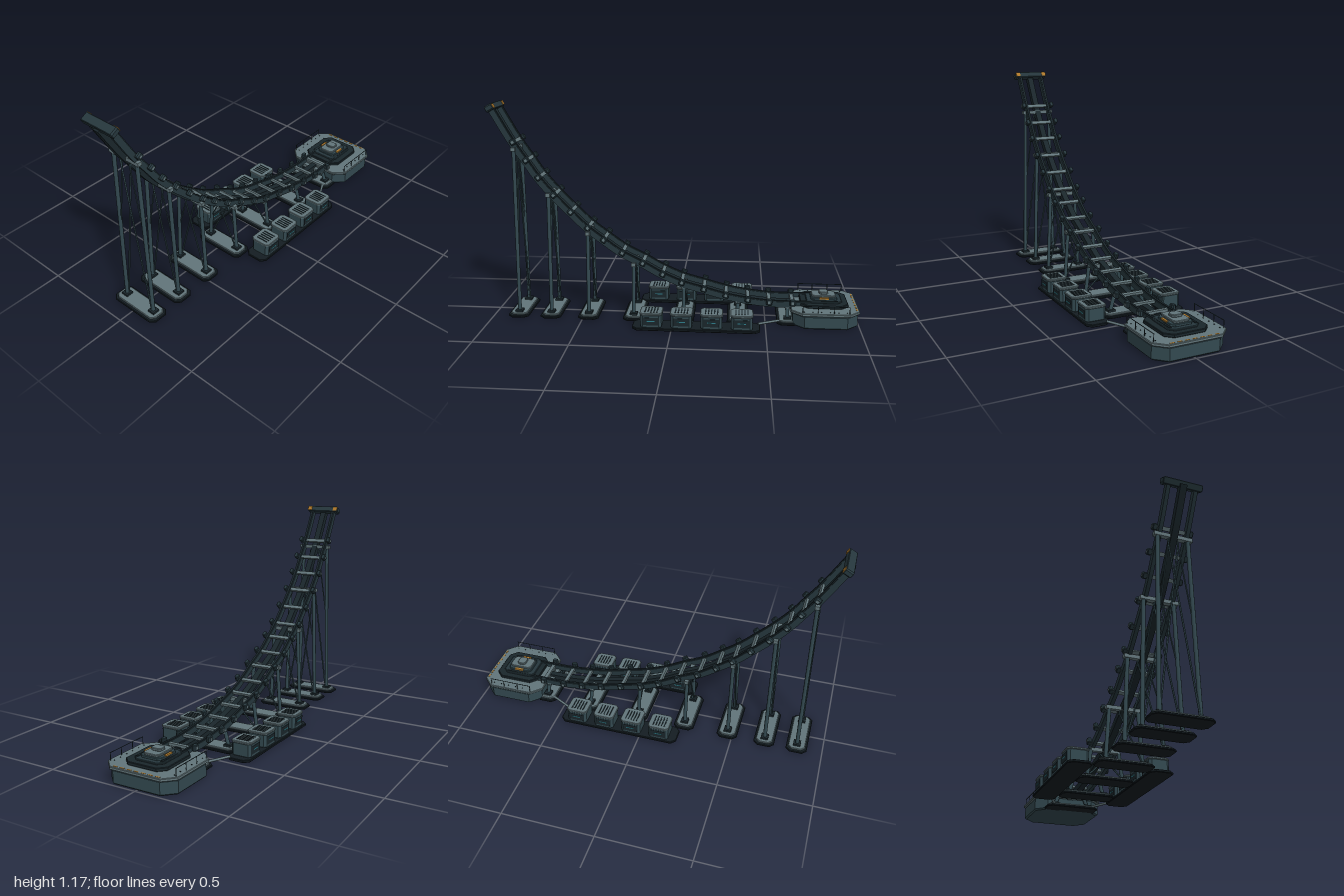
import * as THREE from 'three';

const mat = (color) => new THREE.MeshStandardMaterial({ color });
const DARK = mat(0x1a262b), RAIL = mat(0x26373d), STEEL = mat(0x334950), LIGHT = mat(0x62757a),
  BASE = mat(0x141d22), AMBER = mat(0xb07a2c), TEAL = mat(0x2f7f8c);

function add(parent, name, geo, material, x = 0, y = 0, z = 0) {
  const m = new THREE.Mesh(geo, material);
  m.name = name;
  m.position.set(x, y, z);
  parent.add(m);
  return m;
}
const box = (p, name, m, w, h, d, x, y, z) => add(p, name, new THREE.BoxGeometry(w, h, d), m, x, y, z);

// Round bar between two points
function bar(p, name, m, a, b, r, sides = 8) {
  const A = new THREE.Vector3(...a), B = new THREE.Vector3(...b), d = B.clone().sub(A);
  const mesh = add(p, name, new THREE.CylinderGeometry(r, r, d.length(), sides), m);
  mesh.position.copy(A).add(B).multiplyScalar(0.5);
  mesh.quaternion.setFromUnitVectors(new THREE.Vector3(0, 1, 0), d.normalize());
}

// Slab with cut corners; b bevels its upper and lower edges
function slab(p, name, m, w, h, d, cut, x, y, z, b = 0.003) {
  const s = new THREE.Shape(), X = w / 2 - b, Z = d / 2 - b;
  s.setFromPoints([[-X + cut, -Z], [X - cut, -Z], [X, -Z + cut], [X, Z - cut], [X - cut, Z],
    [-X + cut, Z], [-X, Z - cut], [-X, -Z + cut]].map(([u, v]) => new THREE.Vector2(u, v)));
  const g = new THREE.ExtrudeGeometry(s, { depth: h - 2 * b, bevelThickness: b, bevelSize: b, bevelSegments: 1 });
  g.rotateX(-Math.PI / 2).translate(0, b, 0);
  return add(p, name, g, m, x, y, z);
}

// Track line as [z, y]; the inner points carry the cross ties
const LINE = [[0.975, 1.15], [0.868, 0.965], [0.802, 0.869], [0.734, 0.77], [0.655, 0.677], [0.566, 0.587],
  [0.476, 0.501], [0.384, 0.431], [0.284, 0.361], [0.175, 0.306], [0.068, 0.247], [-0.045, 0.199],
  [-0.164, 0.166], [-0.282, 0.134], [-0.4, 0.113], [-0.525, 0.1], [-0.65, 0.098], [-0.89, 0.103]];
const curve = new THREE.CatmullRomCurve3(LINE.map(([z, y]) => new THREE.Vector3(0, y, z)));
const frames = Array.from({ length: 201 }, (_, i) => {
  const p = curve.getPoint(i / 200), t = curve.getTangent(i / 200);
  return { z: p.z, y: p.y, nz: t.y, ny: -t.z, tilt: Math.atan2(t.y, -t.z) };
});
const at = (z) => frames.reduce((a, f) => (Math.abs(f.z - z) < Math.abs(a.z - z) ? f : a));

// Beam following the track between offsets lo and hi from its line
function trackBeam(p, name, m, x, w, lo, hi, zEnd) {
  const fs = frames.filter((f) => f.z >= zEnd);
  const edge = (o) => fs.map((f) => new THREE.Vector2(f.z + f.nz * o, f.y + f.ny * o));
  const shape = new THREE.Shape([...edge(lo), ...edge(hi).reverse()]);
  const g = new THREE.ExtrudeGeometry(shape, { depth: w, bevelEnabled: false });
  g.translate(0, 0, -w / 2).rotateY(-Math.PI / 2);
  add(p, name, g, m, x);
}

function buildTrack(root) {
  const g = new THREE.Group();
  g.name = 'track';
  root.add(g);
  for (const s of [-1, 1]) {
    trackBeam(g, 'rail', RAIL, s * 0.07, 0.02, -0.02, 0.012, -0.9);
    trackBeam(g, 'railLip', DARK, s * 0.07, 0.011, 0.012, 0.017, -0.9);
  }
  trackBeam(g, 'spine', DARK, 0, 0.034, -0.034, 0, -0.68);
  // Cross ties with end clamps
  for (const [z] of LINE.slice(1, -1)) {
    const f = at(z), tie = new THREE.Group();
    tie.name = 'crossTie';
    tie.position.set(0, f.y, f.z);
    tie.rotation.x = f.tilt;
    g.add(tie);
    box(tie, 'tieBar', LIGHT, 0.18, 0.014, 0.02, 0, 0.004, 0);
    for (const s of [-1, 1]) {
      slab(tie, 'tieClamp', RAIL, 0.024, 0.032, 0.032, 0.005, s * 0.092, -0.004, 0);
      box(tie, 'clampPlate', LIGHT, 0.002, 0.014, 0.014, s * 0.1045, 0.012, 0);
    }
  }
  // End beam at the top of the track
  const f = frames[0], end = new THREE.Group();
  end.name = 'endBeam';
  end.position.set(0, f.y, f.z);
  end.rotation.x = f.tilt;
  g.add(end);
  slab(end, 'endBeamBody', RAIL, 0.204, 0.045, 0.034, 0.005, 0, -0.024, 0);
  for (const s of [-1, 1]) box(end, 'endLamp', AMBER, 0.026, 0.006, 0.024, s * 0.086, 0.021, 0);
}

function buildTowers(root) {
  for (const z of [0.86, 0.68, 0.47, 0.22, -0.055, -0.35, -0.62]) {
    const g = new THREE.Group(), top = at(z).y - 0.025, tall = top > 0.25;
    g.name = 'supportTower';
    root.add(g);
    slab(g, 'footing', BASE, 0.3, 0.012, 0.115, 0.022, 0, 0, z);
    slab(g, 'footingTop', LIGHT, 0.275, 0.01, 0.092, 0.018, 0, 0.012, z);
    box(g, 'headBeam', LIGHT, tall ? 0.196 : 0.16, 0.02, 0.024, 0, top, z);
    for (const s of [-1, 1]) {
      bar(g, 'post', STEEL, [s * 0.098, 0.02, z], [s * 0.078, top, z], 0.0105, 10);
      box(g, 'postFoot', DARK, 0.04, 0.012, 0.04, s * 0.098, 0.027, z);
      if (top < 0.12) continue;
      // Crossing diagonals, one on each side of the tower plane
      bar(g, 'brace', STEEL, [s * 0.092, 0.03, z + s * 0.006], [-s * 0.03, top - 0.02, z + s * 0.006], 0.0045, 6);
      if (tall) bar(g, 'brace', STEEL, [s * 0.088, top * 0.5, z], [s * 0.02, top - 0.01, z], 0.0035, 6);
    }
  }
}

function buildPowerBank(root, s) {
  const g = new THREE.Group();
  g.name = s > 0 ? 'leftPowerBank' : 'rightPowerBank';
  root.add(g);
  const x = s * 0.216;
  slab(g, 'bankBase', BASE, 0.13, 0.014, 0.68, 0.024, x, 0, -0.13);
  for (const z of [0.108, -0.053, -0.213, -0.373]) {
    slab(g, 'cabinet', STEEL, 0.112, 0.07, 0.112, 0.012, x, 0.014, z);
    slab(g, 'cabinetLid', LIGHT, 0.118, 0.012, 0.12, 0.014, x, 0.082, z);
    for (let i = -2; i <= 2; i++) box(g, 'ventSlat', DARK, 0.072, 0.004, 0.006, x, 0.0945, z + i * 0.016);
    for (const side of [-1, 1]) {
      box(g, 'sidePanel', DARK, 0.003, 0.042, 0.08, x + side * 0.0565, 0.05, z);
      box(g, 'statusStrip', TEAL, 0.002, 0.005, 0.045, x + side * 0.0585, 0.052, z);
    }
  }
  // Feed pipe to the platform
  bar(g, 'feedPipe', LIGHT, [s * 0.172, 0.016, -0.46], [s * 0.115, 0.016, -0.57], 0.007);
  bar(g, 'feedPipe', LIGHT, [s * 0.115, 0.016, -0.57], [s * 0.115, 0.02, -0.68], 0.007);
}

function buildPlatform(root) {
  const g = new THREE.Group();
  g.name = 'platform';
  root.add(g);
  const z = -0.818;
  slab(g, 'hull', STEEL, 0.386, 0.076, 0.345, 0.055, 0, 0, z, 0.008);
  slab(g, 'deck', LIGHT, 0.4, 0.016, 0.364, 0.055, 0, 0.074, z);
  slab(g, 'innerPlate', DARK, 0.24, 0.018, 0.255, 0.036, 0, 0.09, z);
  slab(g, 'innerStep', RAIL, 0.17, 0.01, 0.19, 0.025, 0, 0.106, z);
  // Shuttle resting on the rails
  slab(g, 'shuttleBase', STEEL, 0.12, 0.014, 0.14, 0.015, 0, 0.114, z);
  slab(g, 'shuttleBody', LIGHT, 0.09, 0.012, 0.13, 0.012, 0, 0.128, z);
  slab(g, 'shuttleCap', LIGHT, 0.06, 0.014, 0.05, 0.01, 0, 0.14, z);
  for (const s of [-1, 1]) {
    box(g, 'shuttleLamp', AMBER, 0.012, 0.008, 0.05, s * 0.058, 0.128, z);
    // Handrail with posts
    const x = s * 0.187;
    for (const pz of [-0.94, -0.86, -0.775, -0.695]) bar(g, 'handrailPost', RAIL, [x, 0.088, pz], [x, 0.128, pz], 0.002, 6);
    bar(g, 'handrail', RAIL, [x, 0.128, -0.942], [x, 0.128, -0.693], 0.002, 6);
    for (let i = 0; i < 6; i++) add(g, 'deckBolt', new THREE.CylinderGeometry(0.003, 0.003, 0.003, 6), DARK, s * 0.172, 0.091, -0.93 + i * 0.045);
  }
  // Warning marks along the rear edge
  for (let i = -3; i <= 3; i++) box(g, 'edgeMark', AMBER, 0.024, 0.002, 0.007, i * 0.04, 0.0905, -0.986);
}

export function createModel() {
  const root = new THREE.Group();
  root.name = 'launchRamp';
  buildTrack(root);
  buildTowers(root);
  for (const s of [-1, 1]) buildPowerBank(root, s);
  buildPlatform(root);
  return root;
}
